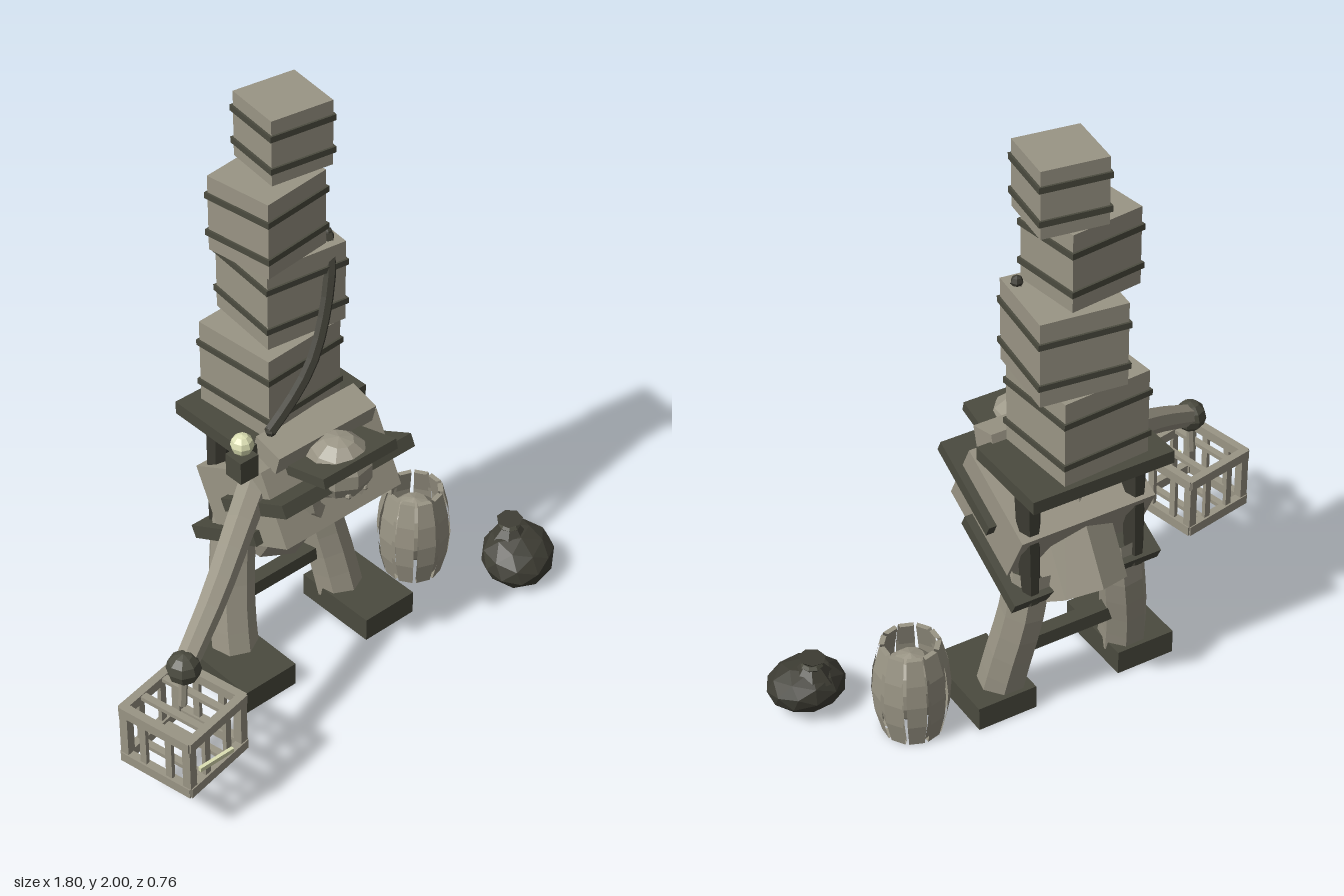
import * as THREE from 'three';

const material = (name, color) => {
  const m = new THREE.MeshStandardMaterial({ color });
  m.name = name;
  return m;
};
const V = (x, y, z) => new THREE.Vector3(x, y, z);
const DEG = Math.PI / 180;

// Faceted normals for the low-poly look
function flat(geometry) {
  const g = geometry.index ? geometry.toNonIndexed() : geometry;
  g.computeVertexNormals();
  return g;
}

// Tube along a curve, its radius easing from r0 to r1
function taperedTube(points, r0, r1, segments, sides) {
  const curve = new THREE.CatmullRomCurve3(points);
  const g = new THREE.TubeGeometry(curve, segments, 1, sides);
  const pos = g.attributes.position, v = V(0, 0, 0);
  for (let i = 0; i < pos.count; i++) {
    const t = Math.floor(i / (sides + 1)) / segments;
    const c = curve.getPointAt(t);
    v.fromBufferAttribute(pos, i).sub(c).multiplyScalar(r0 + (r1 - r0) * t).add(c);
    pos.setXYZ(i, v.x, v.y, v.z);
  }
  return g;
}

export function createModel() {
  const model = new THREE.Group();
  model.name = 'burdenedPorter';
  const stone = material('warm grey', 0x9a9585);
  const dark = material('dark olive', 0x4b4b3f);
  const deep = material('deep olive', 0x3e3d34);
  const glow = material('pale glow', 0xdde0b4);

  function add(name, geometry, mat, p = [0, 0, 0], r = [0, 0, 0], parent = model) {
    const mesh = new THREE.Mesh(flat(geometry), mat);
    mesh.name = name;
    mesh.position.set(...p);
    mesh.rotation.set(...r);
    parent.add(mesh);
    return mesh;
  }
  const box = (name, size, mat, p, r, parent) =>
    add(name, new THREE.BoxGeometry(...size), mat, p, r, parent);
  function group(name, p, ry = 0) {
    const g = new THREE.Group();
    g.name = name;
    g.position.set(...p);
    g.rotation.y = ry;
    model.add(g);
    return g;
  }

  // Feet, legs and rear poles
  for (const s of [-1, 1]) {
    box('foot', [0.21, 0.085, 0.31], dark, [s * 0.26, 0.0425, -0.08]);
    add('leg', taperedTube([V(s * 0.16, 0.56, -0.21), V(s * 0.185, 0.38, -0.2),
      V(s * 0.215, 0.2, -0.17), V(s * 0.23, 0.06, -0.14)], 0.075, 0.08, 6, 7), stone);
    add('rearPole', new THREE.CylinderGeometry(0.042, 0.03, 0.44, 7), deep,
      [s * 0.19, 0.685, -0.25], [2 * DEG, 0, 0]);
  }
  box('legCrossbar', [0.36, 0.05, 0.05], dark, [0, 0.235, -0.18]);

  // Forward-leaning body with a chest box and two straps
  add('body', new THREE.CylinderGeometry(0.16, 0.16, 0.46, 8), stone,
    [0, 0.63, -0.125], [30 * DEG, 0, 0]);
  const tilt = [-27 * DEG, 0, 0];
  box('chest', [0.48, 0.26, 0.35], stone, [0, 0.69, -0.08], tilt);
  box('upperStrap', [0.535, 0.045, 0.325], dark, [0, 0.755, 0.01], tilt);
  box('lowerStrap', [0.535, 0.045, 0.335], dark, [0, 0.555, -0.135], tilt);
  box('yoke', [0.4, 0.07, 0.11], stone, [0, 0.92, -0.005], [15 * DEG, 0, 0]);

  // Head, brim, collar and eyes
  add('head', new THREE.SphereGeometry(0.108, 9, 7), stone, [0, 0.845, 0.105]).scale.z = 1.05;
  box('brim', [0.3, 0.035, 0.27], dark, [0, 0.87, 0.075], [-15 * DEG, 0, 0]);
  add('collar', new THREE.TorusGeometry(0.112, 0.036, 5, 7, Math.PI), stone,
    [0, 0.77, 0.085], [0, 0, Math.PI]);
  for (const s of [-1, 1])
    add('eye', new THREE.SphereGeometry(0.011, 6, 4), stone, [s * 0.034, 0.785, 0.187]);

  // Outstretched arm and hand
  add('arm', taperedTube([V(-0.17, 0.81, -0.07), V(-0.34, 0.74, 0.03),
    V(-0.54, 0.635, 0.14), V(-0.73, 0.53, 0.225)], 0.055, 0.038, 7, 7), stone);
  add('hand', new THREE.SphereGeometry(0.055, 8, 6), dark, [-0.73, 0.53, 0.225]);

  // Hanging slatted cage
  add('cageHandle', new THREE.CylinderGeometry(0.014, 0.014, 0.14, 6), stone,
    [-0.735, 0.455, 0.225], [0, 0, -4 * DEG]);
  const cage = group('cage', [-0.735, 0.285, 0.22], 11 * DEG);
  for (const a of [-1, 1]) {
    for (const b of [-1, 1]) {
      box('cagePost', [0.03, 0.21, 0.03], stone, [a * 0.122, 0, b * 0.122], [0, 0, 0], cage);
      box('cageRail', [0.27, 0.034, 0.028], stone, [0, a * 0.093, b * 0.127], [0, 0, 0], cage);
      box('cageRail', [0.028, 0.034, 0.27], stone, [b * 0.127, a * 0.093, 0], [0, 0, 0], cage);
      box('cageSlat', [0.024, 0.19, 0.014], stone, [a * 0.05, 0, b * 0.127], [0, 0, 0], cage);
      box('cageSlat', [0.014, 0.19, 0.024], stone, [b * 0.127, 0, a * 0.05], [0, 0, 0], cage);
    }
    box('cageFloorSlat', [0.024, 0.014, 0.25], stone, [a * 0.05, -0.095, 0], [0, 0, 0], cage);
    box('cageRoofSlat', [0.024, 0.014, 0.25], stone, [a * 0.05, 0.1, 0], [0, 0, 0], cage);
  }
  box('cageLatch', [0.13, 0.015, 0.012], glow, [-0.735, 0.26, 0.372]);

  // Lantern beside the shoulder
  box('lanternBase', [0.07, 0.08, 0.07], dark, [-0.295, 0.935, -0.005]);
  add('lanternBulb', new THREE.SphereGeometry(0.037, 8, 6), glow, [-0.293, 1.012, -0.005]);

  // Carrying platform and stacked banded crates
  box('platform', [0.5, 0.045, 0.33], dark, [0, 0.917, -0.21]);
  const crates = [ // x, z, bottom, top, width, depth, turn
    [-0.015, -0.195, 0.938, 1.235, 0.31, 0.3, 4],
    [0.04, -0.205, 1.235, 1.52, 0.285, 0.28, -7],
    [-0.028, -0.185, 1.52, 1.78, 0.255, 0.24, 7],
    [0.055, -0.205, 1.78, 2.0, 0.215, 0.205, -8],
  ];
  for (const [x, z, y0, y1, w, d, turn] of crates) {
    const h = y1 - y0;
    const g = group('stackedCrate', [x, y0, z], turn * DEG);
    box('crateBody', [w, h, d], stone, [0, h / 2, 0], [0, 0, 0], g);
    for (const t of [0.24, 0.74])
      box('crateBand', [w + 0.014, 0.02, d + 0.014], dark, [0, h * t, 0], [0, 0, 0], g);
  }

  // Rope slung across the crates
  const rope = [V(-0.175, 1.0, -0.01), V(-0.1, 1.09, 0.005), V(-0.02, 1.2, 0.008),
    V(0.07, 1.35, -0.03), V(0.125, 1.48, -0.075), V(0.14, 1.53, -0.105)];
  add('rope', taperedTube(rope, 0.02, 0.02, 10, 6), deep);
  for (const p of [rope[0], rope[5]])
    add('ropeEnd', new THREE.SphereGeometry(0.02, 6, 4), deep, p.toArray());

  // Barrel of separate bulging staves around a core
  const barrel = group('barrel', [0.53, 0, -0.1]);
  const outline = [[0.098, 0], [0.119, 0.085], [0.126, 0.168], [0.119, 0.25], [0.098, 0.335]];
  const stave = [...outline, ...outline.map(([r, y]) => [r - 0.018, y]).reverse(), outline[0]]
    .map(([r, y]) => new THREE.Vector2(r, y));
  const staveMat = stone.clone();
  staveMat.name = 'warm grey stave';
  staveMat.side = THREE.DoubleSide;
  for (let i = 0; i < 10; i++)
    add('barrelStave', new THREE.LatheGeometry(stave, 1, i * 36 * DEG, 29 * DEG), staveMat,
      [0, 0, 0], [0, 0, 0], barrel);
  add('barrelCore', new THREE.SphereGeometry(0.104, 10, 7), stone,
    [0, 0.168, 0], [0, 0, 0], barrel).scale.y = 1.2;

  // Tied sack
  const sack = group('sack', [0.765, 0, 0.165]);
  add('sackBody', new THREE.IcosahedronGeometry(1, 1), deep, [0, 0.085, 0], [0.2, 0.4, 0.1], sack)
    .scale.set(0.135, 0.086, 0.125);
  add('sackNeck', new THREE.CylinderGeometry(0.025, 0.075, 0.06, 7), deep,
    [-0.005, 0.165, -0.035], [0, 0, 0], sack);
  add('sackTie', new THREE.TorusGeometry(0.026, 0.011, 5, 8), dark,
    [-0.005, 0.187, -0.04], [Math.PI / 2, 0, 0], sack);
  add('sackRuffle', new THREE.CylinderGeometry(0.045, 0.02, 0.022, 7), deep,
    [-0.005, 0.203, -0.04], [0, 0, 0.1], sack);
  return model;
}
